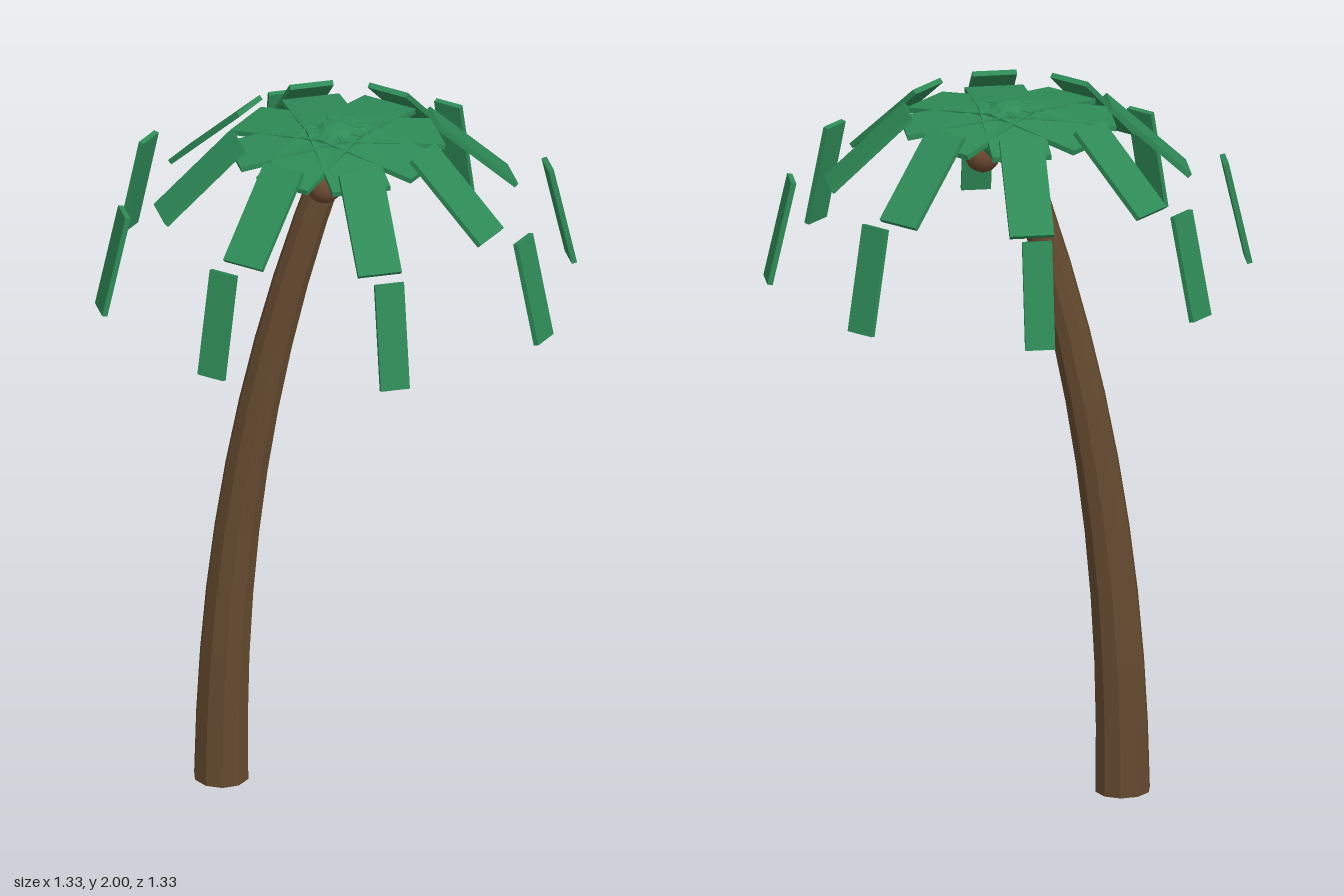
import * as THREE from 'three';

const leafGreen = new THREE.MeshStandardMaterial({ name: 'leafGreen', color: 0x2e8b57, flatShading: true });
const barkBrown = new THREE.MeshStandardMaterial({ name: 'barkBrown', color: 0x644a2f, flatShading: true });
const coconutBrown = new THREE.MeshStandardMaterial({ name: 'coconutBrown', color: 0x6b4830 });

function addMesh(parent, name, geometry, material) {
  const mesh = new THREE.Mesh(geometry, material);
  mesh.name = name;
  parent.add(mesh);
  return mesh;
}

// Leaning trunk: a stack of tapering ten-sided sections along a curve
function createTrunk() {
  const trunk = new THREE.Group();
  trunk.name = 'trunk';
  const sections = 10, height = 1.9;
  const pointAt = t => new THREE.Vector3(-0.315 + 0.308 * Math.pow(t, 2.15), height * t, 0);
  const radiusAt = t => 0.077 - 0.034 * t;
  const up = new THREE.Vector3(0, 1, 0);
  for (let i = 0; i < sections; i++) {
    const t0 = i / sections, t1 = (i + 1) / sections;
    const a = pointAt(t0), b = pointAt(t1);
    const length = a.distanceTo(b) + (i ? 0.008 : 0);
    const section = addMesh(trunk, 'trunkSection',
      new THREE.CylinderGeometry(radiusAt(t1), radiusAt(t0), length, 10), barkBrown);
    section.position.copy(a).add(b).multiplyScalar(0.5);
    section.quaternion.setFromUnitVectors(up, b.clone().sub(a).normalize());
  }
  return trunk;
}

// One frond: three plates, each narrower, lower and steeper than the last
function createFrond(angle) {
  const frond = new THREE.Group();
  frond.name = 'frond';
  for (let i = 0; i < 3; i++) {
    const plate = addMesh(frond, 'leafPlate',
      new THREE.BoxGeometry(0.3, 0.015, 0.163 - 0.0405 * i), leafGreen);
    plate.position.set(0.14 + 0.2455 * i, 1.953 - 0.075 * i * i, 0);
    plate.rotation.z = -(0.15 + 0.6 * i);
  }
  frond.rotation.y = angle;
  return frond;
}

export function createModel() {
  const palm = new THREE.Group();
  palm.name = 'palmTree';
  palm.add(createTrunk());

  // Crown
  addMesh(palm, 'crown', new THREE.SphereGeometry(0.09, 10, 8), leafGreen).position.y = 1.91;
  for (let i = 0; i < 8; i++) palm.add(createFrond(0.2 + i * Math.PI / 4));

  // Coconuts
  for (let i = 0; i < 3; i++) {
    const angle = i * Math.PI * 2 / 3;
    addMesh(palm, 'coconut', new THREE.SphereGeometry(0.05, 14, 10), coconutBrown)
      .position.set(0.07 * Math.cos(angle), 1.84, 0.07 * Math.sin(angle));
  }
  return palm;
}
